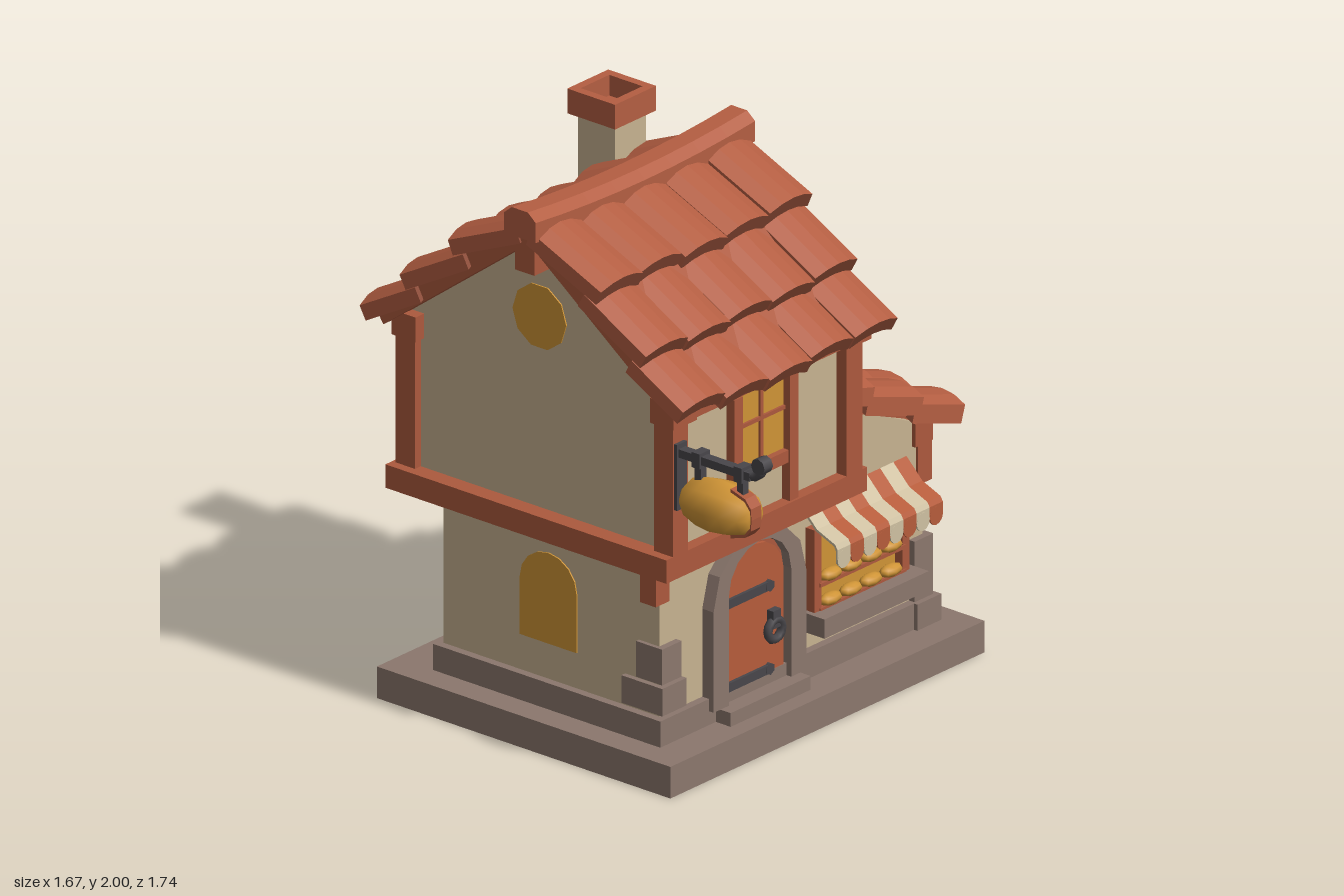
import * as THREE from 'three';

const mat = (name, color) => Object.assign(new THREE.MeshStandardMaterial({ color }), { name });
const M = {
  wall: mat('plaster', 0xc7b290), timber: mat('timber', 0xac593d), roof: mat('roof tile', 0xb45e42),
  tileEnd: mat('tile end', 0x8c4a35), stone: mat('stone', 0x8b776d), amber: mat('amber glass', 0xcf9436),
  iron: mat('iron', 0x48464a), cream: mat('cream cloth', 0xcfc1a2), door: mat('door wood', 0xb65c3b),
};
const RZ = -0.135; // ridge z

export function createModel() {
  const model = new THREE.Group();
  let seed = 7;
  const rnd = () => (seed = (seed * 16807) % 2147483647) / 2147483647 - 0.5;

  const add = (name, geo, m, parent = model) => {
    const mesh = new THREE.Mesh(geo, m);
    mesh.name = name;
    parent.add(mesh);
    return mesh;
  };
  // Box given by its limits on each axis
  const box = (name, m, x0, x1, y0, y1, z0, z1, parent) => {
    const b = add(name, new THREE.BoxGeometry(x1 - x0, y1 - y0, z1 - z0), m, parent);
    b.position.set((x0 + x1) / 2, (y0 + y1) / 2, (z0 + z1) / 2);
    return b;
  };
  const shape = (pts) => new THREE.Shape(pts.map(([x, y]) => new THREE.Vector2(x, y)));
  // Outline in x,y pushed along z
  const plate = (name, m, pts, z0, z1, parent, hole, steps = 1) => {
    const s = shape(pts);
    if (hole) s.holes.push(shape(hole));
    const e = add(name, new THREE.ExtrudeGeometry(s, { depth: z1 - z0, bevelEnabled: false, steps }), m, parent);
    e.position.z = z0;
    return e;
  };
  // Outline in z,y pushed along x
  const prism = (name, m, pts, x0, x1, parent, steps) => {
    const e = plate(name, m, pts.map(([z, y]) => [-z, y]), 0, x1 - x0, parent, null, steps);
    e.rotation.y = Math.PI / 2;
    e.position.x = x0;
    return e;
  };
  const group = (name, x, y, z, ry = 0) => {
    const g = new THREE.Group();
    g.name = name;
    g.position.set(x, y, z);
    g.rotation.y = ry;
    model.add(g);
    return g;
  };
  const arch = (hw, y0, spring, rise, n = 8, cx = 0) => {
    const p = [[cx + hw, y0]];
    for (let i = 0; i <= n; i++) {
      const a = (i / n) * Math.PI;
      p.push([cx + hw * Math.cos(a), spring + rise * Math.sin(a)]);
    }
    return [...p, [cx - hw, y0]];
  };
  const ring = (r, n, cy) => Array.from({ length: n }, (_, i) => {
    const a = (i / n) * Math.PI * 2;
    return [r * Math.cos(a), cy + r * Math.sin(a)];
  });

  // Hollow plinth with a dark underside
  box('plinthTop', M.stone, -0.815, 0.795, 0.1, 0.115, -0.78, 0.51);
  for (const [z0, z1] of [[-0.78, -0.765], [0.495, 0.51]]) box('plinthSide', M.stone, -0.815, 0.795, 0, 0.1, z0, z1);
  for (const [x0, x1] of [[-0.815, -0.8], [0.78, 0.795]]) box('plinthEnd', M.stone, x0, x1, 0, 0.1, -0.765, 0.495);
  box('plinthStep', M.stone, -0.715, 0.705, 0.115, 0.21, -0.62, 0.38);
  box('underside', M.iron, -0.61, 0.52, 0.095, 0.1, -0.41, 0.28);
  box('undersidePatch', M.amber, -0.11, 0.51, 0.091, 0.095, -0.07, 0.23);
  const arc = add('undersideArc', new THREE.CylinderGeometry(0.1, 0.1, 0.004, 12), M.door);
  arc.position.set(0.22, 0.089, 0.08);

  // Walls
  plate('lowerWall', M.wall, [[-0.685, 0.12], [0.665, 0.12], [0.665, 0.83], [0.17, 1.06], [0.17, 0.78], [-0.685, 0.78]], -0.6, 0.35);
  prism('upperWall', M.wall, [[-0.7, 0.8], [0.43, 0.8], [0.43, 1.42], [RZ, 1.84], [-0.7, 1.42]], -0.73, 0.18);

  // Upper timber frame
  box('jettyBeam', M.timber, -0.795, 0.235, 0.765, 0.85, -0.76, 0.475);
  for (const [x0, x1] of [[-0.76, -0.685], [0.13, 0.21]]) {
    for (const [z0, z1] of [[0.39, 0.475], [-0.745, -0.66]]) {
      box('cornerPost', M.timber, x0, x1, 0.85, 1.36, z0, z1);
      box('postCap', M.timber, x0 - 0.015, x1 + 0.03, 1.32, 1.41, z0 - 0.005, z1 + 0.015);
    }
  }
  box('frontEaveBeam', M.timber, -0.76, 0.25, 1.31, 1.365, 0.39, 0.46);
  box('backEaveBeam', M.timber, -0.76, 0.25, 1.31, 1.365, -0.73, -0.66);
  box('gableBeam', M.timber, 0.17, 0.2, 1.34, 1.385, -0.665, 0.39);
  for (const x of [-0.435, -0.15]) box('windowPost', M.timber, x, x + 0.045, 0.85, 1.31, 0.42, 0.465);
  box('upperSill', M.timber, -0.4, -0.14, 0.99, 1.035, 0.42, 0.46);
  box('upperGlass', M.amber, -0.39, -0.15, 1.035, 1.31, 0.428, 0.436);
  box('upperMullion', M.timber, -0.277, -0.263, 1.035, 1.31, 0.43, 0.445);
  box('upperTransom', M.timber, -0.39, -0.15, 1.18, 1.194, 0.43, 0.445);

  // Brackets, eave beam and underside of the side roof
  for (const [x, z] of [[-0.715, 0.29], [0.63, 0.29], [0.63, -0.63]]) box('bracket', M.timber, x, x + 0.07, 0.62, 0.77, z, z + 0.07);
  box('sideEaveBeam', M.timber, 0.61, 0.7, 0.765, 0.85, -0.64, 0.365);
  plate('sideRoofDeck', M.timber, [[0.18, 1.04], [0.78, 0.8], [0.795, 0.84], [0.6, 0.94], [0.36, 1.06], [0.18, 1.09]], -0.65, 0.37);

  // Rows of arched tiles running down local +z: start, end, end height, slope
  const tiles = (g, rows, width, t, sag) => {
    const n = 5, w = width / n;
    for (const [d0, d1, y, slope] of rows) for (let c = 0; c < n; c++) {
      const a = Math.atan(slope), L = (d1 - d0) / Math.cos(a), top = [], bottom = [];
      for (let i = 0; i <= 4; i++) {
        const u = i / 2 - 1, h = -0.028 * u * u;
        top.push([u * w / 2, h]);
        bottom.unshift([u * w / 2, h - t]);
      }
      const tile = plate('tile', [M.tileEnd, M.roof], [...top, ...bottom], 0, L + rnd() * 0.02, g);
      const u = (c + 0.5) / n * 2 - 1;
      tile.rotation.x = a;
      tile.position.set(u * width / 2, y + (d1 - d0) * slope - sag * (1 - u * u) + rnd() * 0.008, d0);
    }
  };
  for (const [name, ry] of [['frontRoof', 0], ['backRoof', Math.PI]]) {
    const g = group(name, -0.275, 0, RZ, ry);
    tiles(g, [[0.49, 0.725, 1.445, 0.55], [0.28, 0.55, 1.61, 0.55], [0.045, 0.345, 1.79, 0.43]], 1.085, 0.055, 0.02);
    prism('roofDeck', M.timber, [[0, 1.83], [0.63, 1.36], [0.66, 1.405], [0.5, 1.54], [0.3, 1.715], [0, 1.88]], -0.515, 0.525, g);
  }
  tiles(group('sideRoof', 0, 0, -0.14, Math.PI / 2),
    [[0.19, 0.37, 1.105, 0.27], [0.34, 0.62, 0.985, 0.33], [0.58, 0.825, 0.888, 0.33]], 1.085, 0.065, 0);

  // Sagging ridge cap and gable pendants
  const ridge = prism('ridgeCap', M.roof, [[0.07, 1.865], [0.07, 1.938], [0.035, 1.967], [-0.035, 1.967], [-0.07, 1.938], [-0.07, 1.865]]
    .map(([z, y]) => [z + RZ, y]), -0.835, 0.29, model, 8);
  const rp = ridge.geometry.attributes.position;
  for (let i = 0; i < rp.count; i++) {
    const u = rp.getZ(i) / 1.125 * 2 - 1;
    rp.setY(i, rp.getY(i) - 0.028 * (1 - u * u));
  }
  ridge.geometry.computeVertexNormals();
  for (const x of [-0.81, 0.18]) box('gablePendant', M.timber, x, x + 0.08, 1.73, 1.87, RZ - 0.043, RZ + 0.043);

  // Chimney with open cap
  box('chimney', M.wall, 0.005, 0.165, 1.4, 1.92, -0.6, -0.437);
  const cap = group('chimneyCap', 0.085, 1.91, -0.52);
  const sq = (r) => [[-r, -r], [r, -r], [r, r], [-r, r]];
  plate('chimneyRim', M.roof, sq(0.105), 0, 0.09, cap, sq(0.073)).rotation.x = -Math.PI / 2;
  box('chimneyInside', M.roof, -0.073, 0.073, 0.005, 0.015, -0.073, 0.073, cap);

  // Front door
  const door = group('frontDoor', -0.227, 0, 0.35);
  plate('stoneArch', M.stone, [...arch(0.238, 0.165, 0.53, 0.235, 6), ...arch(0.16, 0.165, 0.56, 0.155).reverse()], -0.02, 0.05, door);
  plate('doorFrame', M.timber, arch(0.162, 0.165, 0.56, 0.157), 0, 0.015, door);
  plate('doorLeaf', M.door, arch(0.145, 0.165, 0.56, 0.135), 0.01, 0.028, door);
  for (const y of [0.222, 0.525]) {
    box('hinge', M.iron, -0.148, 0.06, y - 0.016, y + 0.016, 0.02, 0.04, door);
    const tip = add('hingeTip', new THREE.CylinderGeometry(0.022, 0.022, 0.014, 6), M.iron, door);
    tip.rotation.x = Math.PI / 2;
    tip.position.set(0.065, y, 0.034);
  }
  add('knocker', new THREE.TorusGeometry(0.036, 0.016, 6, 12), M.iron, door).position.set(0.082, 0.362, 0.045);
  box('knockerPlate', M.iron, 0.062, 0.102, 0.37, 0.435, 0.02, 0.055, door);
  box('doorStep', M.stone, -0.43, -0.02, 0.115, 0.165, 0.3, 0.445);

  // Shop window with loaves
  box('shopGlass', M.amber, 0.1, 0.53, 0.35, 0.64, 0.35, 0.358);
  for (const x of [0.065, 0.515]) box('shopFrame', M.timber, x, x + 0.035, 0.34, 0.65, 0.34, 0.39);
  for (const y of [0.345, 0.435]) {
    box('shopShelf', M.timber, 0.09, 0.53, y, y + 0.014, 0.34, 0.395);
    for (let i = 0; i < 4; i++) {
      const loaf = add('smallLoaf', new THREE.SphereGeometry(1, 8, 6), M.amber);
      loaf.scale.set(0.052, 0.022, 0.028);
      loaf.position.set(0.152 + i * 0.103, y + 0.03, 0.385);
    }
  }
  box('shopSill', M.stone, 0.045, 0.58, 0.28, 0.35, 0.3, 0.45);

  // Striped awning with scallops
  const curve = [[0.345, 0.745], [0.42, 0.67], [0.5, 0.637], [0.51, 0.62], [0.51, 0.575]];
  for (let i = 0; i < 8; i++) {
    const w = 0.0675, x = 0.042 + i * w, m = i % 2 ? M.door : M.cream;
    prism('awningStripe', m, [...curve, ...curve.map(([z, y]) => [z - 0.006, y - 0.007]).reverse()], x, x + w);
    const disc = add('awningScallop', new THREE.CylinderGeometry(w / 2, w / 2, 0.006, 12), m);
    disc.rotation.x = Math.PI / 2;
    disc.position.set(x + w / 2, 0.58, 0.508);
  }

  // Corner stones
  for (const b of [[0.585, 0.708, 0.115, 0.21, 0.16, 0.395], [0.595, 0.69, 0.21, 0.43, 0.18, 0.375],
    [0.595, 0.695, 0.21, 0.36, -0.62, -0.45], [-0.7, -0.6, 0.335, 0.465, 0.26, 0.375], [-0.705, -0.58, 0.225, 0.325, 0.2, 0.38]])
    box('cornerStone', M.stone, ...b);

  // Arched side window
  const side = group('sideWindow', 0.665, 0, RZ, Math.PI / 2);
  plate('sideFrame', M.timber, [...arch(0.145, 0.35, 0.55, 0.14), ...arch(0.115, 0.35, 0.54, 0.11).reverse()], -0.01, 0.028, side);
  plate('sideGlass', M.amber, arch(0.12, 0.35, 0.54, 0.115), 0, 0.008, side);
  plate('sideHood', M.timber, [...arch(0.168, 0.565, 0.58, 0.15), ...arch(0.118, 0.565, 0.57, 0.085).reverse()], -0.01, 0.04, side);
  box('sideMullion', M.timber, -0.008, 0.008, 0.35, 0.65, 0, 0.018, side);
  box('sideTransom', M.timber, -0.115, 0.115, 0.495, 0.51, 0, 0.018, side);
  box('sideSill', M.stone, -0.155, 0.155, 0.28, 0.35, -0.02, 0.073, side);

  // Round gable window
  const round = group('gableWindow', 0.18, 0, RZ, Math.PI / 2);
  plate('roundFrame', M.timber, ring(0.136, 8, 1.555), 0, 0.035, round, ring(0.11, 8, 1.555));
  plate('roundGlass', M.amber, ring(0.113, 8, 1.555), 0, 0.009, round);
  box('roundMullion', M.timber, -0.009, 0.009, 1.45, 1.66, 0, 0.022, round);
  box('roundTransom', M.timber, -0.105, 0.105, 1.546, 1.564, 0, 0.022, round);

  // Painted openings on the back and left
  const back = group('backOpenings', 0, 0, 0, Math.PI);
  plate('backDoor', M.door, arch(0.165, 0.21, 0.53, 0.17, 8, 0.225), 0.6, 0.605, back);
  plate('backWindow', M.amber, arch(0.13, 0.88, 1.12, 0.09, 6, 0.23), 0.7, 0.705, back);
  const left = group('leftOpenings', 0, 0, RZ, -Math.PI / 2);
  plate('leftWindow', M.amber, arch(0.125, 0.34, 0.55, 0.12, 8), 0.685, 0.69, left);
  plate('leftGableWindow', M.amber, ring(0.118, 10, 1.545), 0.73, 0.735, left);

  // Hanging loaf sign
  const sign = group('loafSign', -0.73, 0, 0);
  box('signPlate', M.iron, -0.025, 0.025, 1.02, 1.26, 0.47, 0.488, sign);
  box('signArm', M.iron, -0.018, 0.018, 1.213, 1.243, 0.48, 0.8, sign);
  const path = new THREE.CatmullRomCurve3([[1.229, 0.78], [1.232, 0.815], [1.255, 0.838], [1.28, 0.843]].map(([y, z]) => new THREE.Vector3(0, y, z)));
  add('signCurl', new THREE.TubeGeometry(path, 8, 0.018, 6), M.iron, sign);
  const knob = add('signKnob', new THREE.CylinderGeometry(0.03, 0.03, 0.044, 8), M.iron, sign);
  knob.rotation.z = Math.PI / 2;
  knob.position.set(0, 1.278, 0.84);
  for (const z of [0.57, 0.755]) {
    box('hanger', M.iron, -0.014, 0.014, 1.13, 1.24, z - 0.014, z + 0.014, sign);
    box('hangerClip', M.iron, -0.027, 0.027, 1.2, 1.255, z - 0.018, z + 0.018, sign);
  }
  const profile = [[0, -0.153], [0.04, -0.15], [0.07, -0.125], [0.09, -0.06], [0.097, 0], [0.09, 0.06], [0.07, 0.125], [0.04, 0.15], [0, 0.153]];
  const loaf = add('loaf', new THREE.LatheGeometry(profile.map(([r, y]) => new THREE.Vector2(r, y)), 8), M.amber, sign);
  loaf.rotation.x = Math.PI / 2;
  loaf.position.set(0, 1.078, 0.66);
  // Crust band round the front of the loaf
  const band = profile.slice(5).map(([r, z]) => [z + 0.663, r]);
  prism('loafCrust', M.timber, [...band.map(([z, r]) => [z, 1.078 - r]), ...band.reverse().map(([z, r]) => [z, 1.078 + r])], -0.026, 0.026, sign);

  return model;
}
